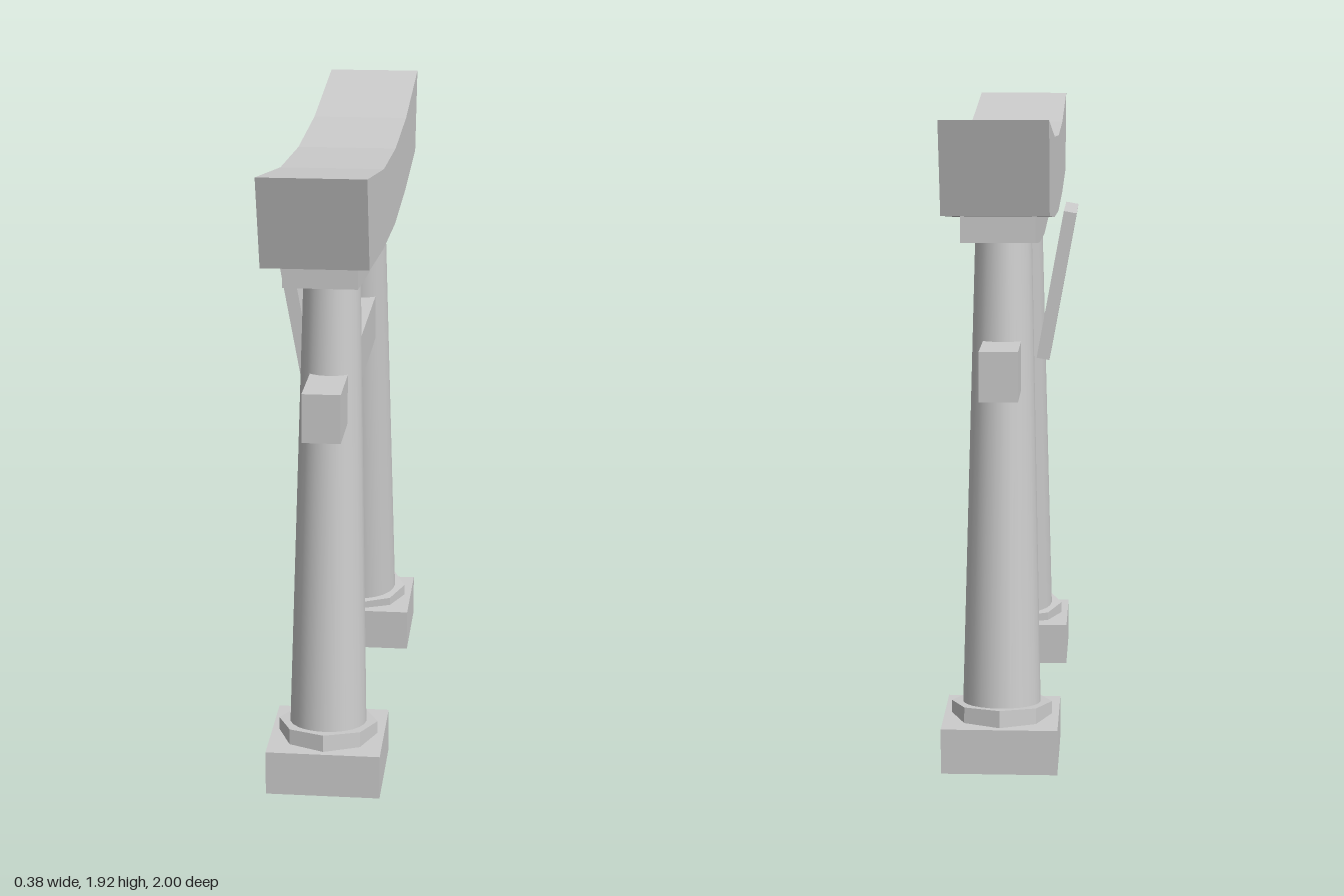
import * as THREE from 'three';

const CX = 0.018; // shared centre plane of the gate

export function createModel() {
  const model = new THREE.Group();
  model.name = 'gate';
  const smooth = new THREE.MeshStandardMaterial({ color: 0xcccccc });
  const flat = new THREE.MeshStandardMaterial({ color: 0xcccccc, flatShading: true });

  const add = (parent, name, geometry, material, x, y, z) => {
    const mesh = new THREE.Mesh(geometry, material);
    mesh.name = name;
    mesh.position.set(x, y, z);
    parent.add(mesh);
    return mesh;
  };

  // Curved beam along z: half profiles of [z, y] from the middle outwards, mirrored
  const curvedBeam = (name, top, bottom, width) => {
    const full = (half) => [
      ...half.slice(1).reverse().map(([z, y]) => new THREE.Vector2(-z, y)),
      ...half.map(([z, y]) => new THREE.Vector2(z, y)),
    ];
    const shape = new THREE.Shape([...full(bottom), ...full(top).reverse()]);
    const geometry = new THREE.ExtrudeGeometry(shape, { depth: width, bevelEnabled: false });
    geometry.translate(0, 0, -width / 2).rotateY(-Math.PI / 2);
    add(model, name, geometry, flat, CX, 0, 0);
  };

  // Upswept top lintel and the thinner beam beneath it
  curvedBeam('topLintel',
    [[0, 1.825], [0.45, 1.845], [1, 1.92]],
    [[0, 1.59], [0.45, 1.61], [0.92, 1.655]], 0.30);
  curvedBeam('underLintel',
    [[0, 1.595], [0.45, 1.615], [0.78, 1.642]],
    [[0, 1.517], [0.45, 1.535], [0.78, 1.567]], 0.212);

  // Straight tie beam running through both pillars
  add(model, 'tieBeam', new THREE.BoxGeometry(0.112, 0.145, 1.525), flat, CX, 1.183, 0);

  // Leaning tablet between the beams
  const tablet = add(model, 'tablet', new THREE.BoxGeometry(0.04, 0.462, 0.343), flat, -0.131, 1.373, 0);
  tablet.rotation.z = 0.18;

  // Pillars lean inwards and stand on square plinths
  const lean = Math.atan2(0.125, 1.36);
  for (const side of [1, -1]) {
    const name = side > 0 ? 'front' : 'back';
    add(model, name + 'Plinth', new THREE.BoxGeometry(0.342, 0.135, 0.342), flat, CX, 0.0675, side * 0.579);

    const pillar = new THREE.Group();
    pillar.name = name + 'Pillar';
    pillar.position.set(CX, 0.13, side * 0.58);
    pillar.rotation.x = -side * lean;
    add(pillar, name + 'Shaft', new THREE.CylinderGeometry(0.084, 0.117, 1.42, 24), smooth, 0, 0.71, 0);
    add(pillar, name + 'Collar', new THREE.CylinderGeometry(0.15, 0.15, 0.06, 8), flat, 0, 0.012, 0);
    model.add(pillar);
  }
  return model;
}
